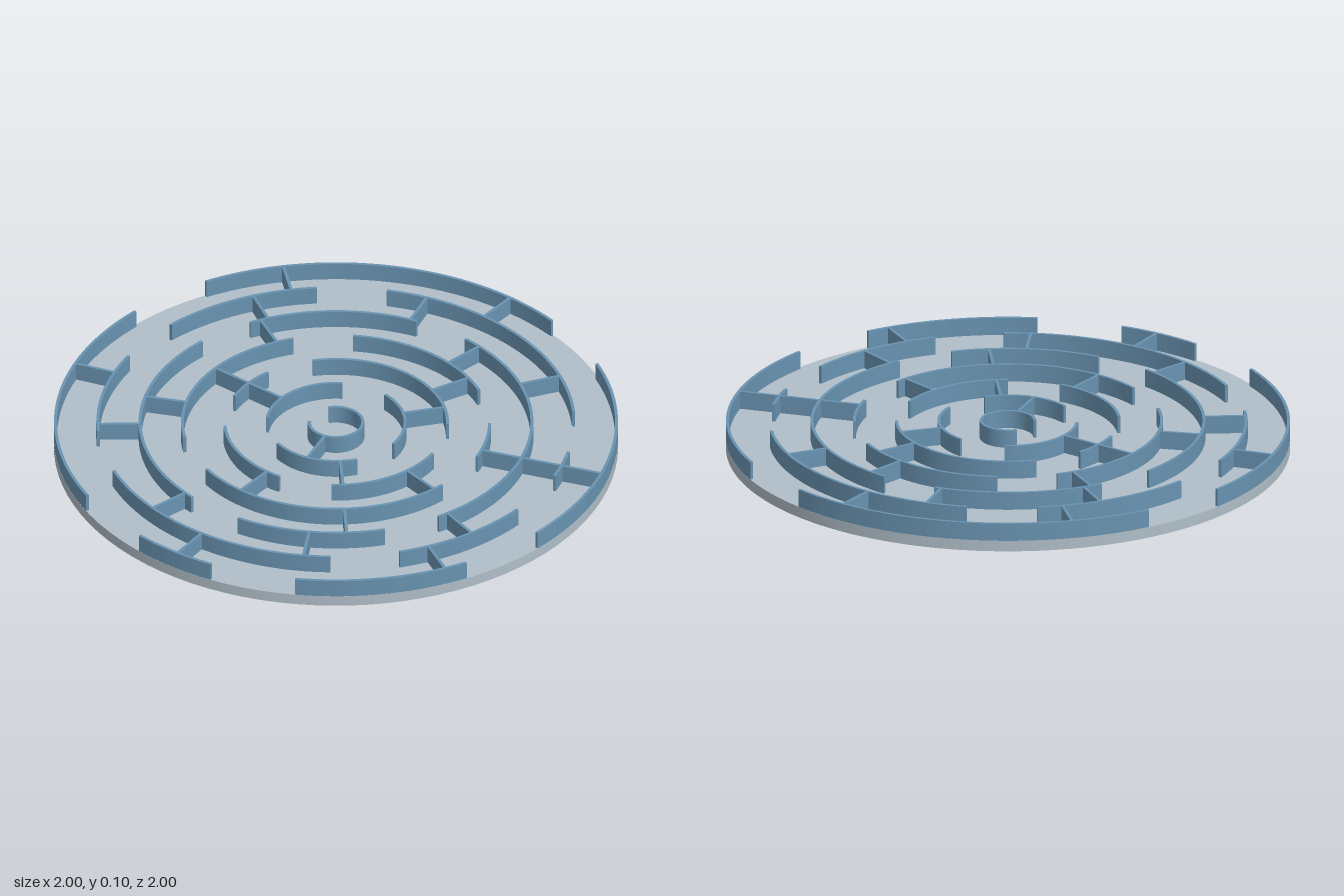
import * as THREE from 'three';

const FLOOR = 0.04, TOP = 0.105, THICK = 0.011;
const RAD = Math.PI / 180;
const ringRadius = (i) => 0.095 + 0.1498 * i;

// Wall arcs of each ring from the centre outwards, [start, end] in degrees from +x towards +z
const rings = [
  [[-54, 234]],
  [[-122, -33], [7, 86], [124, 199]],
  [[-104, -76], [-50.5, 53.5], [81.5, 144], [172, 228.3]],
  [[-138.6, -54.5], [-32, 30], [52.6, 75.3], [98, 199]],
  [[188.8, 278.4], [-64.4, -14], [3, 110.2], [127.2, 171.6]],
  [[-82.3, -43], [-26, 47.3], [64.4, 75.3], [92, 126.2], [143, 210.5], [227.6, 261.2]],
  [[-66, 12], [30, 96], [114, 150], [168, 186], [204, 276]],
];

// Straight walls: [angle, inner ring, outer ring]
const spokes = [
  [166, 0, 1],
  [-90, 1, 3], [38, 1, 2], [138, 1, 2],
  [180, 2, 3], [21, 2, 3], [102, 2, 3],
  [245, 3, 4], [-61, 3, 4], [8.5, 3, 4], [70.5, 3, 6], [138.5, 3, 4],
  [230.8, 4, 5], [-58.7, 4, 5], [-16, 4, 5], [31.5, 4, 5], [107, 4, 5], [149.5, 4, 5], [192, 4, 5],
  [253.3, 5, 6], [-49.2, 5, 6], [0, 5, 6], [118.8, 5, 6], [176, 5, 6],
];

// Curved wall standing on the floor
function arcWall(radius, start, end) {
  const a = start * RAD, b = end * RAD;
  const shape = new THREE.Shape();
  shape.absarc(0, 0, radius + THICK / 2, a, b, false);
  shape.absarc(0, 0, radius - THICK / 2, b, a, true);
  const geometry = new THREE.ExtrudeGeometry(shape, {
    depth: TOP - FLOOR,
    bevelEnabled: false,
    curveSegments: Math.max(4, Math.ceil((end - start) / 4)),
  });
  return geometry.rotateX(Math.PI / 2).translate(0, TOP, 0);
}

// Radial wall between two rings
function spokeWall(angle, inner, outer) {
  const r0 = ringRadius(inner), r1 = ringRadius(outer);
  return new THREE.BoxGeometry(r1 - r0, TOP - FLOOR, THICK)
    .translate((r0 + r1) / 2, (TOP + FLOOR) / 2, 0)
    .rotateY(-angle * RAD);
}

export function createModel() {
  const model = new THREE.Group();
  model.name = 'circularMaze';

  const baseMaterial = new THREE.MeshStandardMaterial({ color: 0xb0bec8 });
  baseMaterial.name = 'pale grey';
  const wallMaterial = new THREE.MeshStandardMaterial({ color: 0x6993b1 });
  wallMaterial.name = 'steel blue';

  const add = (parent, name, geometry, material) => {
    const mesh = new THREE.Mesh(geometry, material);
    mesh.name = name;
    parent.add(mesh);
  };

  // Round floor plate
  add(model, 'base', new THREE.CylinderGeometry(1, 1, FLOOR, 96).translate(0, FLOOR / 2, 0), baseMaterial);

  // Concentric ring walls
  rings.forEach((arcs, i) => {
    const ring = new THREE.Group();
    ring.name = `ring${i + 1}`;
    arcs.forEach(([start, end]) => add(ring, 'curvedWall', arcWall(ringRadius(i), start, end), wallMaterial));
    model.add(ring);
  });

  // Straight walls joining the rings
  const spokeGroup = new THREE.Group();
  spokeGroup.name = 'spokes';
  spokes.forEach((s) => add(spokeGroup, 'straightWall', spokeWall(...s), wallMaterial));
  model.add(spokeGroup);

  return model;
}
